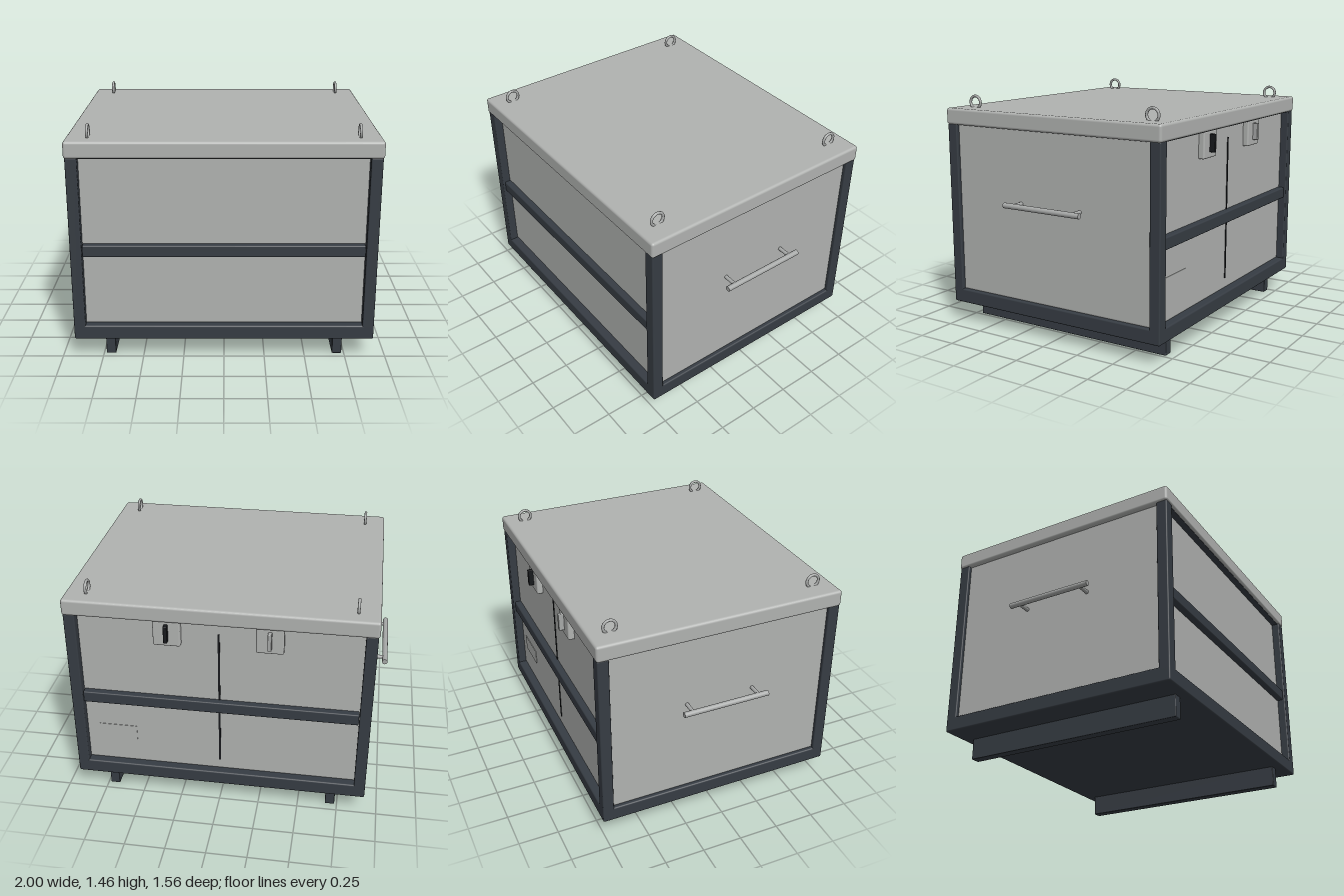
import * as THREE from 'three';
import { RoundedBoxGeometry } from 'three/addons/geometries/RoundedBoxGeometry.js';

export function createModel() {
  const crate = new THREE.Group();
  crate.name = 'crate';
  const mat = (name, color) => {
    const m = new THREE.MeshStandardMaterial({ color });
    m.name = name;
    return m;
  };
  const panelGrey = mat('panelGrey', 0xb0b2b0);
  const frameDark = mat('frameDark', 0x363c43);
  const metalGrey = mat('metalGrey', 0xa6a8a7);
  const black = mat('black', 0x17191c);

  const add = (name, geo, material, x, y, z) => {
    const m = new THREE.Mesh(geo, material);
    m.name = name;
    m.position.set(x, y, z);
    crate.add(m);
    return m;
  };
  // Box given by its limits, with rounded edges when r > 0
  const box = (name, material, [x0, x1], [y0, y1], [z0, z1], r = 0) => {
    const s = [x1 - x0, y1 - y0, z1 - z0];
    const geo = r ? new RoundedBoxGeometry(...s, 3, r) : new THREE.BoxGeometry(...s);
    return add(name, geo, material, (x0 + x1) / 2, (y0 + y1) / 2, (z0 + z1) / 2);
  };

  const ZC = 0.007; // middle of the cabinet in z
  const span = (c, h) => [c - h, c + h];

  // Body and lid
  box('body', panelGrey, [-0.895, 0.895], [0.21, 1.3], span(ZC, 0.715), 0.02);
  box('lid', panelGrey, [-0.925, 0.925], [1.28, 1.382], span(ZC, 0.772), 0.016);

  // Dark base and corner posts
  box('base', frameDark, [-0.918, 0.918], [0.13, 0.22], span(ZC, 0.767), 0.01);
  for (const sx of [-1, 1]) {
    for (const sz of [-1, 1]) {
      box('cornerPost', frameDark, span(sx * 0.883, 0.035), [0.135, 1.285],
        span(ZC + sz * 0.732, 0.035), 0.008);
    }
    box('skid', frameDark, span(sx * 0.705, 0.03), [0, 0.135], span(ZC, 0.703), 0.005);
  }

  // Middle and top rails on front and back
  for (const sz of [-1, 1]) {
    box('middleRail', frameDark, [-0.846, 0.846], [0.668, 0.742], span(ZC + sz * 0.73, 0.027), 0.008);
    box('topRail', frameDark, [-0.85, 0.85], [1.277, 1.3], span(ZC + sz * 0.73, 0.025));
  }

  // Side handles with two brackets each
  for (const sx of [-1, 1]) {
    add('handleBar', new THREE.CylinderGeometry(0.017, 0.017, 0.55, 20), metalGrey,
      sx * 0.983, 0.832, ZC).rotation.x = Math.PI / 2;
    for (const sz of [-1, 1]) {
      add('handleBracket', new THREE.CylinderGeometry(0.012, 0.012, 0.095, 16), metalGrey,
        sx * 0.935, 0.832, ZC + sz * 0.215).rotation.z = Math.PI / 2;
    }
  }

  // Lifting rings
  for (const sx of [-1, 1]) {
    for (const sz of [-1, 1]) {
      add('liftingRing', new THREE.TorusGeometry(0.0395, 0.0085, 12, 32), metalGrey,
        sx * 0.795, 1.412, ZC + sz * 0.643).rotation.y = Math.PI / 2;
    }
  }

  // Back door details: latches, seam and blank plate
  for (const sx of [-1, 1]) {
    box('latchPlate', panelGrey, span(sx * 0.305, 0.082), [1.115, 1.28], [-0.745, -0.7], 0.01);
    box('latchGrip', sx > 0 ? black : metalGrey, span(sx * 0.305, 0.012), [1.15, 1.26],
      [-0.777, -0.74], 0.005);
  }
  box('doorSeam', black, span(0, 0.006), [0.285, 1.2], [-0.712, -0.704]);
  box('blankPlate', panelGrey, [0.53, 0.77], [0.385, 0.485], [-0.711, -0.704]);

  return crate;
}
